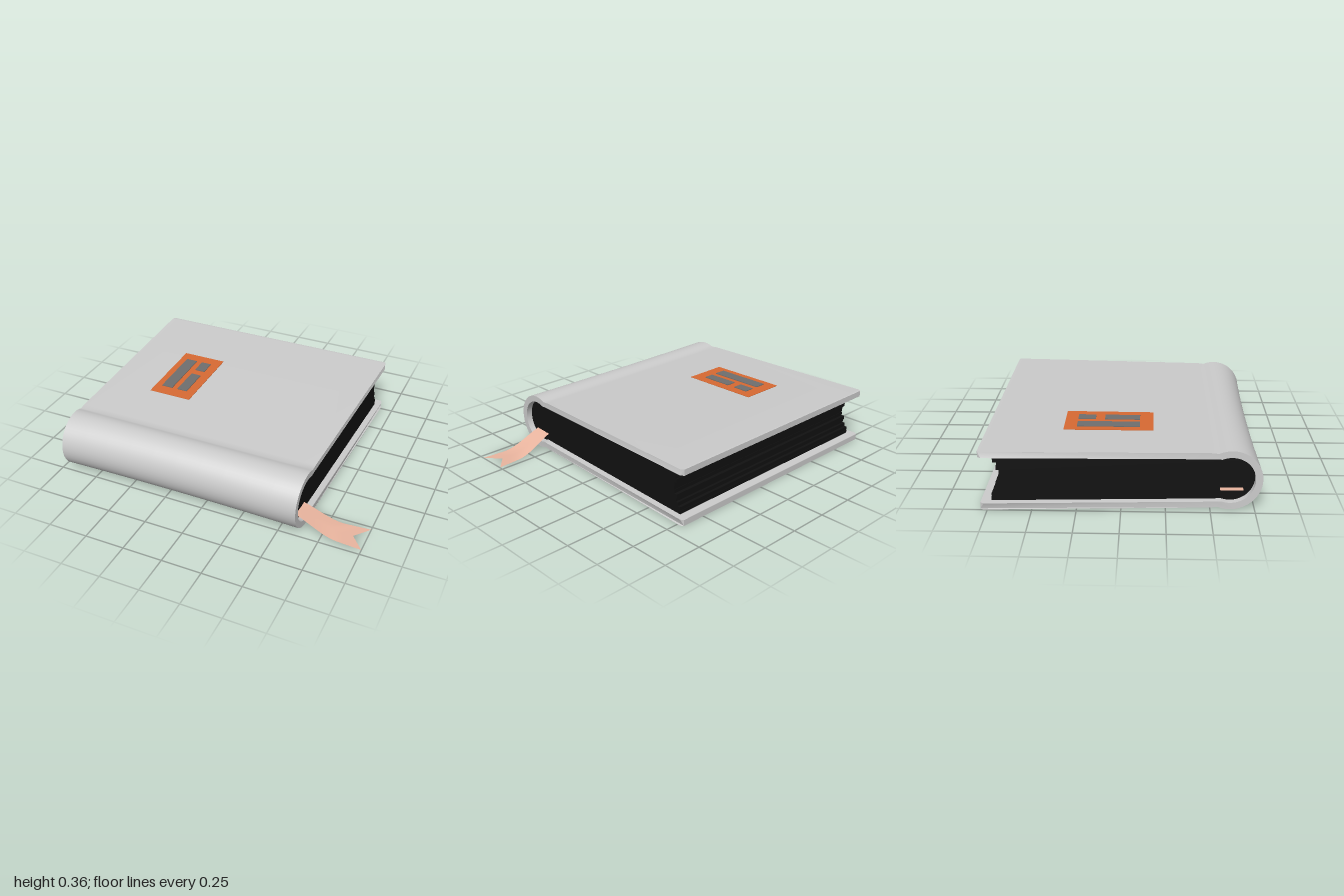
import * as THREE from 'three';
import { toCreasedNormals } from 'three/addons/utils/BufferGeometryUtils.js';

const CX = -0.165;                 // middle of the book in x
const MID = 0.178;                 // half of the book's height
const SPINE_Z = 0.613;

// half width of the cover: wider at the fore edge, with softened corners
function halfWidth(z) {
  const corner = Math.max(0, (-z - 0.77) / 0.02);
  return 0.81 - 0.0316 * z - 0.014 * corner * corner;
}
// height of the front board's outer face
const boardTop = (z) => 0.343 + (0.54 - z) * 0.009;

function mesh(name, geometry, color, side = THREE.FrontSide) {
  const m = new THREE.Mesh(geometry, new THREE.MeshStandardMaterial({ color, side }));
  m.name = name;
  return m;
}

// points on a spine arc, from the top hinge round the front to the bottom hinge
function spineArc(radius, hingeZ, n = 28) {
  const over = Math.asin((SPINE_Z - hingeZ) / radius);
  return Array.from({ length: n + 1 }, (_, i) => {
    const a = Math.PI / 2 + over - (i / n) * (Math.PI + 2 * over);
    return [SPINE_Z + radius * Math.cos(a), MID + radius * Math.sin(a)];
  });
}

// extrude a (z, y) outline across the book, following its taper and hollow spine
function acrossBook(outline, inset) {
  const shape = new THREE.Shape(outline.map(([z, y]) => new THREE.Vector2(-z, y)));
  const geo = new THREE.ExtrudeGeometry(shape, { depth: 2, steps: 10, bevelEnabled: false });
  geo.translate(0, 0, -1).rotateY(Math.PI / 2);
  const p = geo.attributes.position;
  for (let i = 0; i < p.count; i++) {
    const t = p.getX(i), z = p.getZ(i);
    const hollow = 0.015 * (1 - t * t) * Math.max(0, (z - 0.55) / 0.24);
    p.setX(i, CX + t * (halfWidth(z) - inset));
    p.setZ(i, z - hollow);
  }
  return toCreasedNormals(geo, 0.5);
}

function cover() {
  const mirrorY = ([z, y]) => [z, 2 * MID - y];
  const outerEdge = [[-0.79, 0.355], [-0.785, 0.356], [-0.77, 0.355], [0.5, 0.345]];
  const innerEdge = [[-0.79, 0.317], [-0.77, 0.317], [0.52, 0.308]];
  const outline = [
    ...outerEdge,
    ...spineArc(0.178, 0.54),
    ...outerEdge.map(mirrorY).reverse(),
    ...innerEdge.map(mirrorY),
    ...spineArc(0.138, 0.56).reverse(),
    ...innerEdge.slice().reverse(),
  ];
  return mesh('cover', acrossBook(outline, 0), 0xcccccc);
}

function pages() {
  // fore edge in uneven steps, hollow in the middle
  const steps = [-0.73, -0.728, -0.71, -0.695, -0.702, -0.682, -0.68, -0.682, -0.698, -0.692, -0.715, -0.73];
  const bottom = 0.036, top = 0.32, h = (top - bottom) / steps.length;
  const fore = steps.flatMap((z, i) => [[z, bottom + i * h], [z, bottom + (i + 1) * h]]);
  const outline = [...spineArc(0.142, 0.56), ...fore];
  return mesh('pages', acrossBook(outline, 0.04), 0x111111);
}

// thin plate lying on the front board and tapering with it
function plate(name, x0, x1, z0, z1, rise, color) {
  const geo = new THREE.BoxGeometry(x1 - x0, 1, z1 - z0);
  geo.translate((x0 + x1) / 2, 0, (z0 + z1) / 2);
  const p = geo.attributes.position;
  for (let i = 0; i < p.count; i++) {
    const z = p.getZ(i);
    p.setX(i, CX + (p.getX(i) - CX) * halfWidth(z) / halfWidth(-0.08));
    p.setY(i, boardTop(z) + (p.getY(i) > 0 ? rise : -0.004));
  }
  geo.computeVertexNormals();
  return mesh(name, geo, color);
}

function label() {
  const g = new THREE.Group();
  g.name = 'label';
  g.add(plate('labelPanel', -0.657, -0.369, -0.345, 0.18, 0.004, 0xd86a33));
  const bars = [[-0.612, -0.536, -0.27, 0.1], [-0.497, -0.429, -0.27, -0.165], [-0.497, -0.429, -0.11, 0.1]];
  for (const b of bars) g.add(plate('labelBar', ...b, 0.008, 0x6f6f6f));
  return g;
}

// ribbon running through the pages, drooping to the ground with a notched end
function ribbon() {
  const geo = new THREE.PlaneGeometry(1, 2, 80, 2);
  geo.rotateX(-Math.PI / 2);
  const p = geo.attributes.position;
  for (let i = 0; i < p.count; i++) {
    const s = p.getX(i) + 0.5, v = p.getZ(i);
    const end = 1 - 0.08 * (1 - Math.abs(v));
    const x = THREE.MathUtils.lerp(-0.95, end, s);
    const half = 0.065 + 0.03 * THREE.MathUtils.clamp((x - 0.6) / 0.4, 0, 1);
    const y = 0.003 + 0.112 * (1 - THREE.MathUtils.smoothstep(x, 0.5, 0.85));
    p.setXYZ(i, x, y, 0.62 + v * half);
  }
  geo.computeVertexNormals();
  return mesh('ribbonBookmark', geo, 0xeab59f, THREE.DoubleSide);
}

export function createModel() {
  const book = new THREE.Group();
  book.name = 'book';
  book.add(cover(), pages(), label(), ribbon());
  return book;
}
